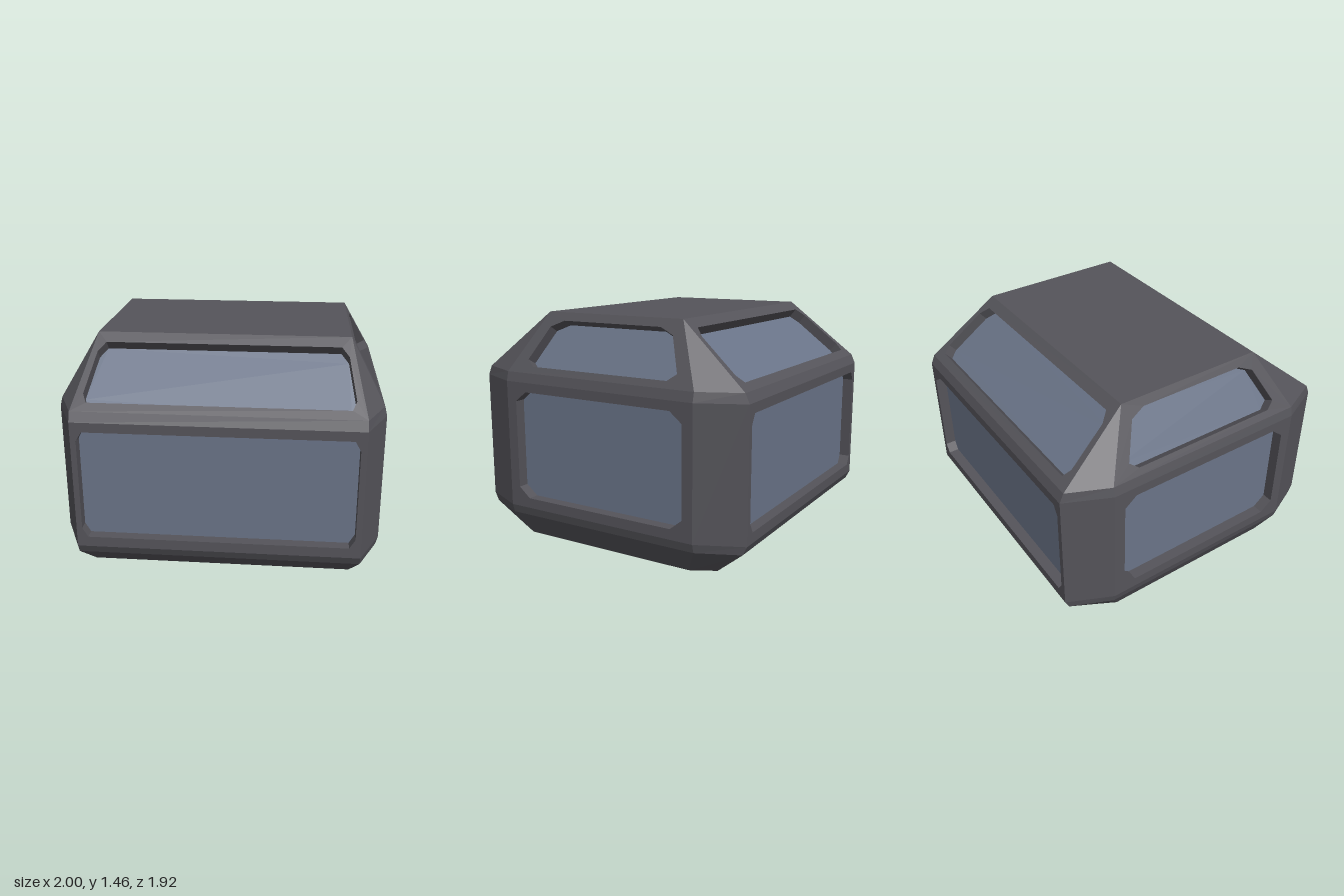
import * as THREE from 'three';

const RECESS = 0.07;
const bodyMat = new THREE.MeshStandardMaterial({ color: 0x55545a, flatShading: true });
const glassMat = new THREE.MeshStandardMaterial({ color: 0x6a7488, flatShading: true });

// Octagonal cross-sections: height, outer half width, outer half depth,
// half width of the front flat, half length of the side flat
const levels = [
  [0, 0.90, 0.75, 0.82, 0.60],
  [0.155, 0.985, 0.935, 0.87, 0.68],
  [0.21, 1.00, 0.962, 0.87, 0.68],
  [1.03, 1.00, 0.962, 0.87, 0.68],
  [1.09, 0.985, 0.935, 0.87, 0.68],
  [1.46, 0.78, 0.49, 0.78, 0.49],
];
const WALL = 2, SLOPE = 4; // bands whose flats carry windows

const ring = ([y, X, Z, x, z]) =>
  [[-x, Z], [x, Z], [X, z], [X, -z], [x, -Z], [-x, -Z], [-X, -z], [-X, z]]
    .map(([px, pz]) => [px, y, pz]);

function meshFromTriangles(points, material, name) {
  const geo = new THREE.BufferGeometry();
  geo.setAttribute('position', new THREE.Float32BufferAttribute(points.flat(), 3));
  geo.computeVertexNormals();
  const mesh = new THREE.Mesh(geo, material);
  mesh.name = name;
  return mesh;
}

// Body bands, leaving out the flats that hold windows, and the roof
function makeShell() {
  const tris = [];
  for (let l = 0; l < levels.length - 1; l++) {
    const lo = ring(levels[l]), hi = ring(levels[l + 1]);
    for (let i = 0; i < 8; i++) {
      if ((l === WALL || l === SLOPE) && i % 2 === 0) continue;
      const j = (i + 1) % 8;
      tris.push(lo[i], lo[j], hi[j]);
      if (l !== SLOPE) tris.push(lo[i], hi[j], hi[i]);
    }
  }
  const t = ring(levels[5]);
  tris.push(t[0], t[1], t[4], t[0], t[4], t[5]);
  return meshFromTriangles(tris, bodyMat, 'bodyShell');
}

// Right half of an outline (bottom to top), mirrored to a full loop
const mirrored = (half) => [...half, ...[...half].reverse().map(([a, b]) => [-a, b])];

// Flat facing +z with a recessed window; depth(y) gives z of the flat
function makeWindow(outer, hole, depth, name) {
  const group = new THREE.Group();
  group.name = name;
  const slope = depth(1) - depth(0);
  const n = new THREE.Vector3(0, -slope, 1).normalize().multiplyScalar(RECESS);
  const front = ([a, b]) => [a, b, depth(b)];
  const back = ([a, b]) => [a, b - n.y, depth(b) - n.z];
  const vecs = (pts) => pts.map(([a, b]) => new THREE.Vector2(a, b));

  const flat = (shape, map) => {
    const geo = new THREE.ShapeGeometry(shape).toNonIndexed();
    const p = geo.attributes.position;
    for (let i = 0; i < p.count; i++) p.setXYZ(i, ...map([p.getX(i), p.getY(i)]));
    geo.computeVertexNormals();
    return geo;
  };

  const frameShape = new THREE.Shape(vecs(outer));
  frameShape.holes.push(new THREE.Path(vecs(hole)));
  const frame = new THREE.Mesh(flat(frameShape, front), bodyMat);
  frame.name = 'windowFrame';

  const tris = [];
  hole.forEach((p, i) => {
    const q = hole[(i + 1) % hole.length];
    tris.push(front(p), front(q), back(q), front(p), back(q), back(p));
  });
  const pane = new THREE.Mesh(flat(new THREE.Shape(vecs(hole)), back), glassMat);
  pane.name = 'windowPane';
  group.add(frame, meshFromTriangles(tris, bodyMat, 'windowReveal'), pane);
  return group;
}

// Window on one flat of a band: d = column of outer distance, w = column of half width
function bandWindow(band, d, w, hole, name) {
  const lo = levels[band], hi = levels[band + 1];
  const depth = (y) => lo[d] + (hi[d] - lo[d]) * (y - lo[0]) / (hi[0] - lo[0]);
  const outer = mirrored([[lo[w], lo[0]], [hi[w], hi[0]]]);
  return makeWindow(outer, mirrored(hole), depth, name);
}

export function createModel() {
  const model = new THREE.Group();
  model.name = 'facetedPod';
  model.add(makeShell());

  // Front and back, then left and right
  const frontHole = [[0.80, 0.275], [0.835, 0.335], [0.835, 0.91], [0.80, 0.97]];
  const frontSlope = [[0.78, 1.13], [0.805, 1.17], [0.765, 1.365], [0.72, 1.41]];
  const sideHole = [[0.53, 0.275], [0.61, 0.34], [0.61, 0.905], [0.53, 0.97]];
  const sideSlope = [[0.49, 1.13], [0.545, 1.17], [0.45, 1.37], [0.355, 1.41]];
  const sides = [['front', 0], ['left', 1], ['back', 2], ['right', 3]];
  for (const [side, turn] of sides) {
    const ends = turn % 2 === 0;
    const d = ends ? 2 : 1, w = ends ? 3 : 4;
    const wall = bandWindow(WALL, d, w, ends ? frontHole : sideHole, side + 'Window');
    const upper = bandWindow(SLOPE, d, w, ends ? frontSlope : sideSlope, side + 'UpperWindow');
    for (const part of [wall, upper]) {
      part.rotation.y = turn * Math.PI / 2;
      model.add(part);
    }
  }

  // Recessed panel underneath
  const [, X, Z, x, z] = levels[0];
  const floor = makeWindow(
    mirrored([[x, -Z], [X, -z], [X, z], [x, Z]]),
    mirrored([[0.80, -0.70], [0.86, -0.62], [0.86, 0.62], [0.80, 0.70]]),
    () => 0, 'floorWindow');
  floor.rotation.x = Math.PI / 2;
  model.add(floor);
  return model;
}
